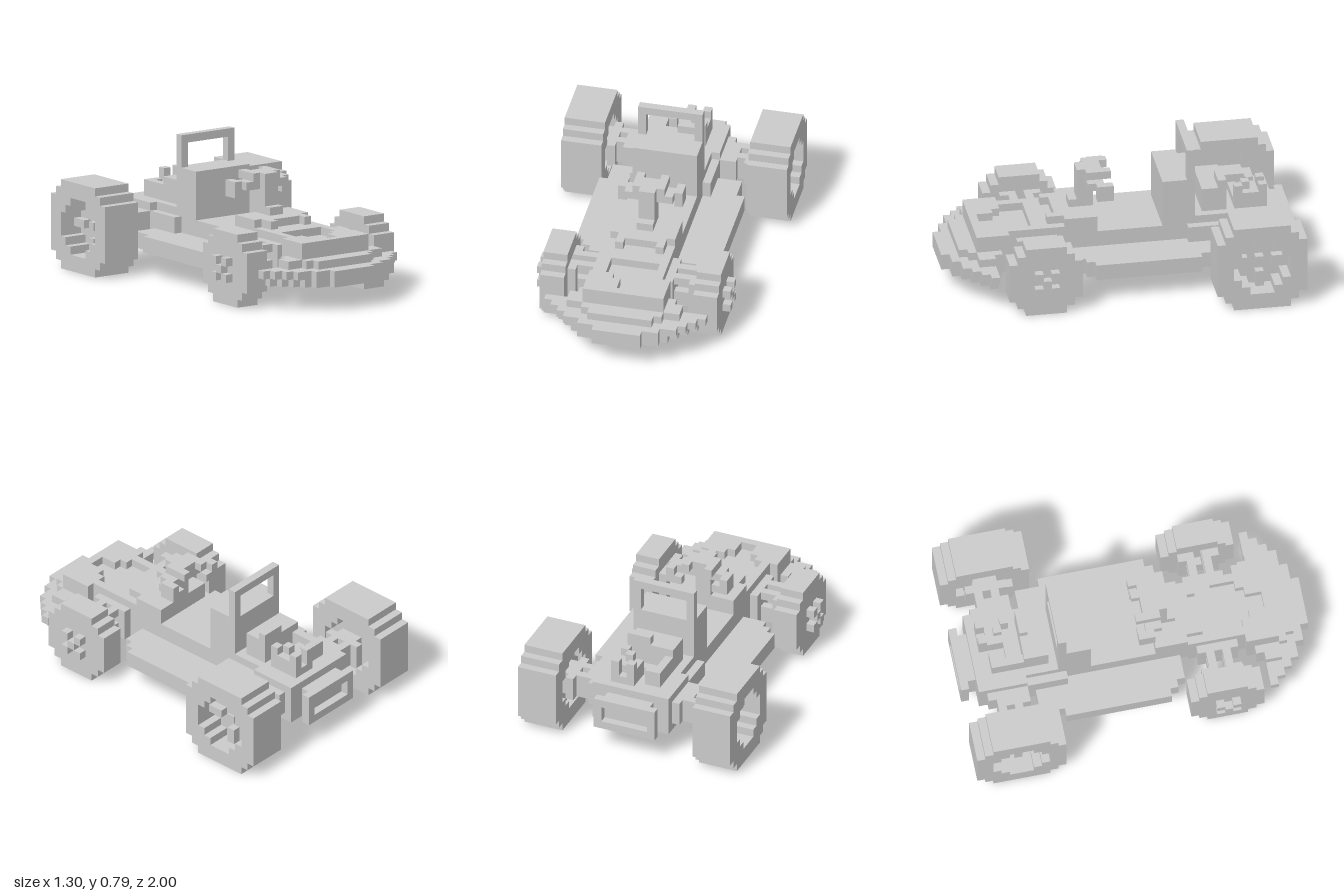
import * as THREE from 'three';

const U = 2 / 43; // one block

export function createModel() {
  const model = new THREE.Group();
  model.name = 'blockBuggy';
  const grey = new THREE.MeshStandardMaterial({ color: 0xcccccc });
  grey.name = 'plain grey';

  const add = (name, geo) => {
    const mesh = new THREE.Mesh(geo, grey);
    mesh.name = name;
    model.add(mesh);
  };
  // block given by its ranges; x is centred, z counts from the back
  const box = (name, x0, x1, y0, y1, z0, z1) => {
    const g = new THREE.BoxGeometry((x1 - x0) * U, (y1 - y0) * U, (z1 - z0) * U);
    g.translate((x0 + x1) / 2 * U, (y0 + y1) / 2 * U, ((z0 + z1) / 2 - 21.5) * U);
    add(name, g);
  };
  const mid = (name, half, y0, y1, z0, z1) => box(name, -half, half, y0, y1, z0, z1);
  const pair = (name, x0, x1, y0, y1, z0, z1) => {
    box(name + 'Left', x0, x1, y0, y1, z0, z1);
    box(name + 'Right', -x1, -x0, y0, y1, z0, z1);
  };

  // stepped disc outline: radius r with corners cut in single-block stairs
  const outline = (r, cut, Type) => {
    const quarter = [];
    for (let i = 0; i <= cut; i++) {
      quarter.push([r - i, r - cut + i]);
      if (i < cut) quarter.push([r - i - 1, r - cut + i]);
    }
    const pts = [];
    for (let q = 0; q < 4; q++) {
      for (const [a, b] of quarter) {
        const [x, y] = [[a, b], [-b, a], [-a, -b], [b, -a]][q];
        pts.push(new THREE.Vector2(x * U, y * U));
      }
    }
    return new Type(pts);
  };
  // slice of a wheel between x0 and x1, with an optional hole
  const slice = (name, x0, x1, cy, cz, r, cut, hole, holeCut) => {
    const shape = outline(r, cut, THREE.Shape);
    if (hole) shape.holes.push(outline(hole, holeCut, THREE.Path));
    const g = new THREE.ExtrudeGeometry(shape, { depth: (x1 - x0) * U, bevelEnabled: false });
    g.rotateY(Math.PI / 2);
    g.translate(x0 * U, cy * U, (cz - 21.5) * U);
    add(name, g);
  };

  // wheels
  for (const s of [1, -1]) {
    const span = (a, b) => (s > 0 ? [a, b] : [-b, -a]);
    slice('rearTyreOuter', ...span(11, 14), 5.5, 5.5, 5.5, 2, 3.5, 2);
    slice('rearRim', ...span(10, 11), 5.5, 5.5, 5.5, 2);
    slice('rearTyreInner', ...span(9, 10), 5.5, 5.5, 5.5, 2, 3.5, 2);
    slice('frontTyre', ...span(9, 11), 4.5, 31.5, 4.5, 2);
    slice('frontTyreInner', ...span(8, 9), 4.5, 31.5, 4.5, 2, 2.5, 1);
  }
  pair('rearHubNut', 11, 12, 5, 6, 5, 6);
  for (const a of [2, 7]) {
    pair('rearSpokeUpright', 11, 12, a, a + 2, 5, 6);
    pair('rearSpokeLevel', 11, 12, 5, 6, a, a + 2);
  }
  for (const [y, z] of [[3, 30], [3, 32], [4, 31], [5, 30], [5, 32]]) {
    pair('frontWheelNut', 11, 12, y, y + 1, z, z + 1);
  }

  // floor, with crosswise slots underneath
  pair('sideFloor', 4, 9, 3, 5, 12, 25);
  pair('sideFloorRear', 4, 8, 3, 5, 9, 12);
  pair('sideFloorFront', 4, 8, 3, 5, 25, 26);
  pair('sideFloorTip', 4, 7, 3, 5, 26, 27);
  mid('tunnel', 4, 4, 7, 12, 27);
  for (let z = 12; z < 32; z += 4) mid('floorRib', 4, 3, 4, z, z + 2);

  // seat and roll bar
  mid('seat', 4, 7, 13, 13, 16);
  mid('rollBarBase', 4, 5, 13, 12, 13);
  pair('rollBarPost', 3, 4, 13, 17, 12, 13);
  mid('rollBarTop', 3, 16, 17, 12, 13);

  // rear body and framed plate
  mid('rearBody', 5, 4, 8, 2, 8);
  mid('rearBodyFront', 4, 4, 8, 8, 12);
  pair('rearBodyLedge', 4, 5, 4, 7, 8, 13);
  mid('rearUndersideBack', 5, 3, 4, 2, 4);
  mid('rearUndersideFront', 5, 3, 4, 7, 12);
  pair('rearUndersideSide', 3, 5, 3, 4, 4, 7);
  mid('differential', 2, 2, 4, 4, 7);
  mid('plateBack', 3, 3, 7, 1, 2);
  pair('plateFrameSide', 3, 4, 3, 7, 0, 1);
  mid('plateFrameTop', 3, 6, 7, 0, 1);
  mid('plateFrameBottom', 3, 3, 4, 0, 1);

  // engine
  mid('engineBlock', 3, 8, 11, 8, 11);
  box('engineCap', 0, 3, 11, 12, 8, 9);
  box('enginePipe', -3, -2, 8, 10, 5, 8);
  box('enginePipeBend', -3, -1, 8, 10, 4, 5);
  box('enginePipeCross', -2, 0, 8, 9, 6, 7);
  box('engineIntake', 0, 3, 8, 9, 3, 7);
  box('engineIntakeTop', 0, 3, 9, 10, 4, 6);
  for (const [x, z] of [[0, 3], [2, 3], [1, 5], [2, 6]]) box('engineKnob', x, x + 1, 9, 11, z, z + 1);

  // rear axle
  pair('rearAxleRoot', 5, 6, 4, 7, 3, 8);
  pair('rearAxleBlock', 6, 7, 4, 7, 4, 8);
  for (const z of [4, 6]) pair('rearAxleArm', 7, 8, 4, 7, z, z + 1);
  pair('rearAxleHub', 8, 10, 4, 7, 4, 7);
  for (const z of [3, 7]) pair('rearAxleBracket', 8, 9, 4, 7, z, z + 1);

  // front suspension
  for (const z of [30, 32]) {
    pair('frontArmUpper', 4, 9, 6, 7, z, z + 1);
    pair('frontArmLower', 4, 9, 3, 5, z, z + 1);
  }
  pair('frontArmMount', 4, 5, 3, 7, 29, 34);
  for (const z of [29, 33]) pair('frontKnuckle', 7, 8, 2, 7, z, z + 1);

  // cowl, stepped towards the front
  mid('cowl', 4, 4, 9, 24, 28);
  mid('cowlStep', 3, 8, 9, 28, 29);
  pair('cowlHorn', 2, 3, 8, 9, 29, 30);

  // hood and nose around a shallow tapering recess
  mid('hoodFloor', 4, 4, 7, 28, 36);
  mid('hoodUnderside', 4, 3, 4, 32, 36);
  mid('hoodTop', 4, 7, 8, 28, 32);
  pair('hoodRim', 3, 4, 7, 8, 32, 35);
  pair('noseRimBack', 2, 5, 7, 8, 35, 36);
  pair('noseRim', 1, 5, 7, 8, 36, 38);
  mid('noseLip', 5, 5, 8, 38, 39);
  mid('noseBack', 5, 3, 7, 35, 36);
  mid('noseWide', 6, 3, 6, 36, 37);
  mid('noseTop', 5, 5, 7, 36, 38);
  mid('noseStep', 5, 5, 6, 39, 40);
  mid('noseFront', 4, 5, 6, 40, 41);
  pair('noseShoulder', 5, 7, 5, 6, 37, 39);

  // stepped front bumper
  [10, 9, 8, 7, 5, 3].forEach((half, i) => {
    mid('bumperUpper', half, 4, 5, 37 + i, 38 + i);
    mid('bumperLower', half - (i < 4 ? 1 : 0), 3, 4, 37 + i, 38 + i);
  });

  // steering column and wheel
  mid('steeringBase', 1, 9, 10, 24, 27);
  mid('steeringColumn', 1, 10, 12, 24, 26);
  mid('steeringHub', 1, 12, 14, 23, 26);
  pair('steeringRimTop', 1, 2, 13, 14, 22, 25);
  pair('steeringSpoke', 1, 3, 12, 13, 23, 25);
  pair('steeringGrip', 3, 4, 11, 13, 22, 24);
  pair('steeringGripLower', 2, 3, 11, 12, 22, 23);

  return model;
}
